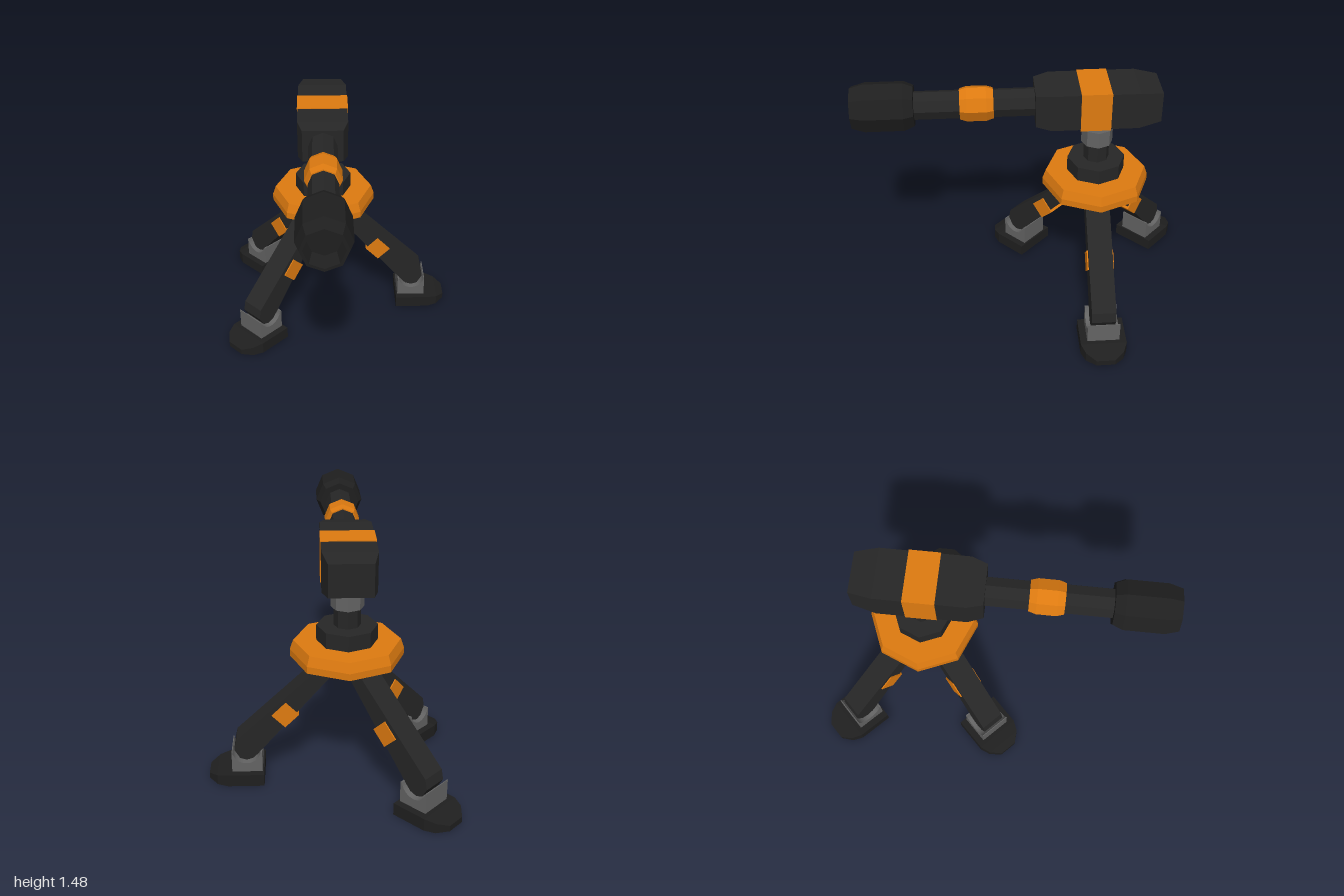
import * as THREE from 'three';

const mat = (name, color) => {
  const m = new THREE.MeshStandardMaterial({ color, flatShading: true });
  m.name = name;
  return m;
};

// Rectangular sections along z, each [z, halfWidth, yBottom, yTop], joined into a solid
function loft(sections) {
  const pos = [], idx = [];
  for (const [z, h, y0, y1] of sections) pos.push(-h, y0, z, h, y0, z, h, y1, z, -h, y1, z);
  for (let i = 0; i < sections.length - 1; i++) {
    for (let k = 0; k < 4; k++) {
      const a = i * 4 + k, b = i * 4 + (k + 1) % 4;
      idx.push(a, b, b + 4, a, b + 4, a + 4);
    }
  }
  const e = (sections.length - 1) * 4;
  idx.push(0, 2, 1, 0, 3, 2, e, e + 1, e + 2, e, e + 2, e + 3);
  const g = new THREE.BufferGeometry();
  g.setAttribute('position', new THREE.Float32BufferAttribute(pos, 3));
  g.setIndex(idx);
  g.computeVertexNormals();
  return g;
}

// Eight-sided turned part from [radius, height] points
const turned = (pts) => new THREE.LatheGeometry(pts.map(([r, y]) => new THREE.Vector2(r, y)), 8);

// Side profile given width across z, centred
function slab(shape, width) {
  const g = new THREE.ExtrudeGeometry(shape, { depth: width, bevelEnabled: false, curveSegments: 10 });
  return g.translate(0, 0, -width / 2);
}
const polygon = (pts) => new THREE.Shape(pts.map(([x, y]) => new THREE.Vector2(x, y)));

export function createModel() {
  const charcoal = mat('charcoal', 0x262626);
  const black = mat('black', 0x1f1f1f);
  const orange = mat('orange', 0xdd7a10);
  const steel = mat('steel', 0x636363);

  const model = new THREE.Group();
  model.name = 'tripodTurret';
  const body = new THREE.Group();
  body.name = 'body';
  body.position.set(-0.095, 0, -0.395);
  model.add(body);
  const add = (parent, name, geometry, material) => {
    const m = new THREE.Mesh(geometry, material);
    m.name = name;
    parent.add(m);
    return m;
  };

  // Platform and pedestal
  add(body, 'platform', turned([[0, 0.77], [0.317, 0.77], [0.317, 0.81], [0.298, 0.866], [0, 0.866]]), orange);
  const stack = [
    ['pedestalBase', 0.17, 0.86, 0.956, charcoal],
    ['pedestalColumn', 0.075, 0.95, 1.07, charcoal],
    ['swivelCollar', 0.092, 1.065, 1.165, steel],
    ['neck', 0.045, 1.16, 1.24, steel],
  ];
  for (const [name, r, y0, y1, m] of stack) {
    add(body, name, new THREE.CylinderGeometry(r, r, y1 - y0, 8).translate(0, (y0 + y1) / 2, 0), m);
  }

  // Receiver with tapered ends and a band around it
  add(body, 'receiver', loft([
    [-0.345, 0.117, 1.252, 1.432], [-0.215, 0.145, 1.23, 1.45],
    [0.28, 0.145, 1.23, 1.45], [0.367, 0.117, 1.243, 1.437],
  ]), charcoal);
  add(body, 'receiverBand', new THREE.BoxGeometry(0.297, 0.232, 0.172).translate(0, 1.339, 0.03), orange);

  // Barrel assembly along z
  const gun = new THREE.Group();
  gun.name = 'barrelAssembly';
  gun.position.y = 1.342;
  body.add(gun);
  const along = (name, pts, m) =>
    add(gun, name, turned(pts.map(([r, z]) => [r, z + 0.395])).rotateX(Math.PI / 2), m);
  along('barrel', [[0, -0.05], [0.083, -0.05], [0.083, 0.67], [0, 0.67]], charcoal);
  along('barrelRing', [[0.08, 0.205], [0.09, 0.205], [0.103, 0.245], [0.103, 0.355], [0.09, 0.395], [0.08, 0.395]], orange);
  // Hollow muzzle
  along('muzzle', [[0, 0.65], [0.12, 0.65], [0.144, 0.705], [0.144, 0.925], [0.122, 1.0],
    [0.105, 1.0], [0.085, 0.92], [0, 0.92]], black);

  // Ankle block with a round notch for the leg end
  const ankle = new THREE.Shape();
  ankle.moveTo(0.485, 0.07);
  ankle.lineTo(0.66, 0.07);
  ankle.lineTo(0.66, 0.2);
  ankle.absarc(0.575, 0.212, 0.081, -0.149, -Math.PI + 0.149, true);
  ankle.lineTo(0.485, 0.2);
  ankle.closePath();

  const strut = polygon([
    [0.087, 0.677], [0.42, 0.285], [0.508, 0.182], [0.535, 0.153], [0.575, 0.14], [0.613, 0.152],
    [0.645, 0.208], [0.632, 0.268], [0.179, 0.7], [0.173, 0.738],
  ]);
  const band = polygon([[0.27, 0.435], [0.35, 0.355], [0.425, 0.43], [0.345, 0.511]]);
  const stub = polygon([[0.12, 0.7], [0.155, 0.725], [0.1, 0.79], [0.045, 0.79]]);

  // Three legs around the pedestal
  for (const angle of [0, 0.75 * Math.PI, -0.75 * Math.PI]) {
    const leg = new THREE.Group();
    leg.name = 'leg';
    leg.rotation.y = angle;
    body.add(leg);
    add(leg, 'hipStub', slab(stub, 0.09), charcoal);
    add(leg, 'strut', slab(strut, 0.144), charcoal);
    add(leg, 'strutBand', slab(band, 0.158), orange);
    add(leg, 'ankle', slab(ankle, 0.192), steel);
    add(leg, 'foot', loft([
      [0.475, 0.137, 0.003, 0.076], [0.685, 0.137, 0.003, 0.076],
      [0.745, 0.112, 0.003, 0.063], [0.795, 0.055, 0.01, 0.045],
    ]).rotateY(Math.PI / 2), black);
  }
  return model;
}
